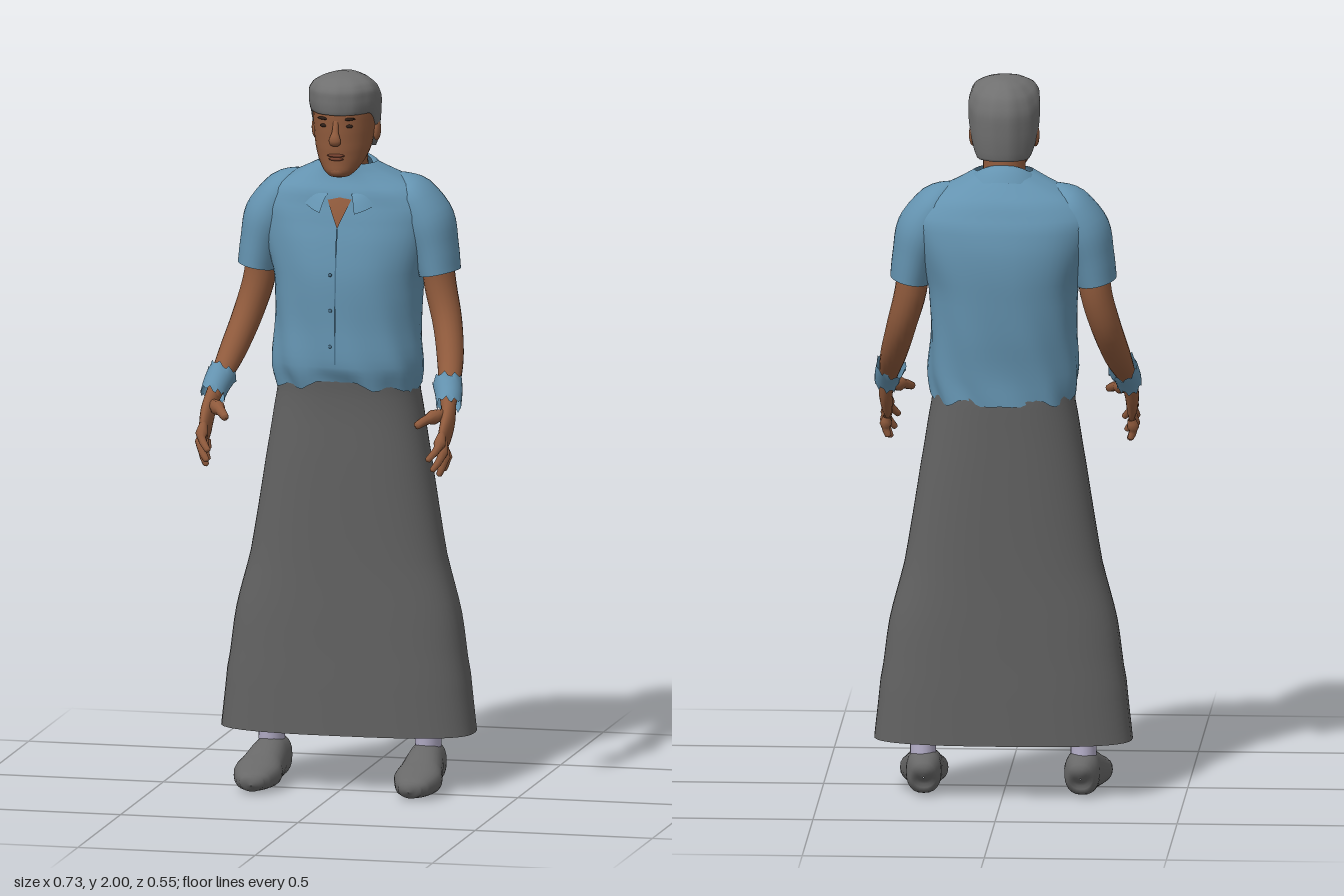
import * as THREE from 'three';

const paint = (name, color, side = THREE.FrontSide) => {
  const m = new THREE.MeshStandardMaterial({ color, side });
  m.name = name;
  return m;
};

// Smooth skin over oval rings. Each key: [x, y, z, half depth, half width, squareness = 2].
// Rings lie across the path, or level when flat is set; bend(v, angle, t) adjusts vertices.
function loft(keys, { seg = 20, sub = 4, flat = false, bend } = {}) {
  const path = new THREE.CatmullRomCurve3(keys.map(k => new THREE.Vector3(k[0], k[1], k[2])));
  const size = new THREE.CatmullRomCurve3(keys.map(k => new THREE.Vector3(k[3], k[4], k[5] ?? 2)));
  const rows = (keys.length - 1) * sub, pos = [], index = [];
  const power = (c, n) => Math.sign(c) * Math.abs(c) ** (2 / n);
  for (let i = 0; i <= rows; i++) {
    const t = i / rows, p = path.getPoint(t), s = size.getPoint(t);
    const dir = flat ? new THREE.Vector3(0, 1, 0) : path.getTangent(t);
    const across = new THREE.Vector3(1, 0, 0).addScaledVector(dir, -dir.x).normalize();
    const deep = dir.clone().cross(across);
    for (let j = 0; j < seg; j++) {
      const a = j / seg * Math.PI * 2;
      const v = p.clone()
        .addScaledVector(across, power(Math.cos(a), s.z) * s.y)
        .addScaledVector(deep, power(Math.sin(a), s.z) * s.x);
      if (bend) bend(v, a, t);
      pos.push(v.x, v.y, v.z);
      if (i < rows) {
        const b = i * seg + (j + 1) % seg, c = i * seg + j;
        index.push(c, b, c + seg, b, b + seg, c + seg);
      }
    }
  }
  const g = new THREE.BufferGeometry();
  g.setAttribute('position', new THREE.Float32BufferAttribute(pos, 3));
  g.setIndex(index);
  g.computeVertexNormals();
  return g;
}

// Open sheet from a rule f(u, v) -> [x, y, z]
function sheet(f, nu, nv) {
  const g = new THREE.PlaneGeometry(1, 1, nu, nv), p = g.attributes.position;
  for (let i = 0; i < p.count; i++) p.setXYZ(i, ...f(p.getX(i) + 0.5, p.getY(i) + 0.5));
  g.computeVertexNormals();
  return g;
}

export function createModel() {
  const model = new THREE.Group();
  const skin = paint('brown skin', 0x8f5a3c, THREE.DoubleSide);
  const shirtBlue = paint('shirt blue', 0x6493b0, THREE.DoubleSide);
  const seamBlue = paint('seam blue', 0x48708a, THREE.DoubleSide);
  const hairGrey = paint('hair grey', 0x707070, THREE.DoubleSide);
  const skirtGrey = paint('skirt grey', 0x626262, THREE.DoubleSide);
  const shoeGrey = paint('shoe grey', 0x686868);
  const sockLilac = paint('sock lilac', 0xb4aec8, THREE.DoubleSide);
  const dark = paint('eye dark', 0x2e2019);
  const lip = paint('lip brown', 0x73402e);

  const add = (name, geometry, material, parent = model) => {
    const m = new THREE.Mesh(geometry, material);
    m.name = name;
    parent.add(m);
    return m;
  };
  const blob = (name, material, [x, y, z], [sx, sy, sz], tilt = 0) => {
    const m = add(name, new THREE.SphereGeometry(1, 14, 10), material);
    m.position.set(x, y, z);
    m.scale.set(sx, sy, sz);
    m.rotation.z = tilt;
    return m;
  };

  // Long skirt, open at the hem
  add('skirt', loft([
    [0, 0.16, -0.1, 0.14, 0.355, 2.8], [0, 0.32, -0.1, 0.138, 0.338, 2.8],
    [0, 0.49, -0.1, 0.136, 0.313, 2.7], [0, 0.65, -0.1, 0.135, 0.272, 2.6],
    [0, 0.92, -0.1, 0.138, 0.228, 2.5], [0, 1.1, -0.1, 0.14, 0.198, 2.4],
    [0, 1.165, -0.095, 0.143, 0.19, 2.4],
  ], { seg: 48, flat: true }), skirtGrey);

  // Shirt body with soft folds and an uneven hem
  add('shirtBody', loft([
    [0, 1.115, -0.097, 0.147, 0.197, 2.4], [0, 1.19, -0.09, 0.155, 0.207, 2.4],
    [0, 1.3, -0.098, 0.16, 0.2, 2.4], [0, 1.42, -0.103, 0.165, 0.205, 2.4],
    [0, 1.53, -0.112, 0.158, 0.235, 2.4], [0, 1.61, -0.115, 0.14, 0.252, 2.4],
    [0, 1.67, -0.108, 0.118, 0.222, 2.3], [0, 1.71, -0.1, 0.09, 0.15, 2.2],
    [0, 1.745, -0.085, 0.07, 0.08],
  ], {
    seg: 56, flat: true, bend: (v, a, t) => {
      const low = Math.max(0, 1 - t * 3), front = Math.max(0, -Math.sin(a));
      const fold = 0.004 * Math.sin(9 * a + 14 * t) * (0.25 + low);
      v.x += Math.cos(a) * fold;
      v.z -= Math.sin(a) * fold;
      if (t < 0.13) v.y += (1 - t / 0.13) * (0.03 * front ** 3 + 0.008 * Math.sin(7 * a) + 0.005 * Math.sin(13 * a));
    },
  }), shirtBlue);

  // Collar folded over around the neck, parted at the front
  add('collar', sheet((u, v) => {
    const a = (u - 0.5) * 5.5, back = (1 + Math.cos(a)) / 2;
    const r = 0.068 + 0.05 * v, crest = 0.012 * Math.sin(Math.PI * v);
    const y = 1.665 + 0.1 * back ** 0.8 - v * (0.055 - 0.015 * back) + crest;
    return [Math.sin(a) * r * 1.08, y, -0.075 - Math.cos(a) * (r - 0.012 * back) + 0.012 * (1 - back)];
  }, 36, 6), shirtBlue);

  // Skin showing in the open neck, then the front seam and buttons
  add('neckOpening', sheet((u, v) => {
    const y = 1.575 + 0.115 * v, x = (u - 0.5) * 0.1 * v;
    return [x, y, 0.042 - 0.045 * v ** 1.4 - Math.abs(x) * 0.08];
  }, 4, 8), skin);
  add('frontSeam', sheet((u, v) => {
    const y = 1.2 + 0.375 * v;
    return [(u - 0.5) * 0.004, y, 0.069 - 0.027 * v ** 3];
  }, 1, 10), seamBlue);
  for (const y of [1.25, 1.35, 1.45]) blob('button', seamBlue, [-0.014, y, 0.065], [0.005, 0.005, 0.003]);

  // Neck and face
  add('neck', loft([
    [0, 1.6, -0.1, 0.06, 0.07], [0, 1.7, -0.08, 0.065, 0.062],
    [0, 1.76, -0.07, 0.065, 0.058], [0, 1.84, -0.065, 0.065, 0.06],
  ]), skin);
  add('face', loft([
    [0, 1.714, 0.015, 0.002, 0.002], [0, 1.72, 0.012, 0.03, 0.028],
    [0, 1.735, 0, 0.053, 0.046], [0, 1.765, -0.022, 0.076, 0.065],
    [0, 1.8, -0.04, 0.097, 0.077], [0, 1.85, -0.05, 0.109, 0.084],
    [0, 1.9, -0.053, 0.112, 0.087], [0, 1.95, -0.058, 0.095, 0.075],
  ], { seg: 32, flat: true }), skin);
  add('nose', loft([
    [0, 1.885, 0.053, 0.004, 0.007], [0, 1.85, 0.063, 0.008, 0.009],
    [0, 1.826, 0.069, 0.012, 0.017], [0, 1.815, 0.064, 0.008, 0.014], [0, 1.812, 0.06, 0.001, 0.001],
  ], { seg: 14 }), skin);
  blob('upperLip', lip, [0, 1.782, 0.054], [0.025, 0.005, 0.008]);
  blob('lowerLip', lip, [0, 1.772, 0.053], [0.021, 0.005, 0.008]);
  blob('chin', skin, [0, 1.737, 0.037], [0.024, 0.017, 0.017]);

  // Hair with a raised front and a low nape
  add('hair', loft([
    [0, 1.79, -0.05, 0.095, 0.07], [0, 1.78, -0.05, 0.114, 0.088],
    [0, 1.84, -0.053, 0.122, 0.097], [0, 1.9, -0.055, 0.123, 0.098],
    [0, 1.95, -0.055, 0.108, 0.086], [0, 1.98, -0.055, 0.078, 0.06],
    [0, 1.995, -0.055, 0.04, 0.03], [0, 1.999, -0.055, 0.001, 0.001],
  ], {
    seg: 40, flat: true, bend: (v, a, t) => {
      const edge = 1.78 + 0.115 * THREE.MathUtils.smoothstep(-Math.sin(a), -0.7, 0.45);
      v.y = 2 - (2 - v.y) * (2 - edge) / 0.22;
      const wave = 1 + 0.018 * Math.sin(11 * a) * Math.sin(Math.PI * t);
      v.x *= wave;
      v.z = -0.055 + (v.z + 0.055) * wave;
    },
  }), hairGrey);

  for (const s of [1, -1]) {
    const side = s > 0 ? 'left' : 'right';
    const flip = keys => keys.map(([x, ...rest]) => [x * s, ...rest]);
    const limb = (name, keys, material, options) => add(side + name, loft(flip(keys), options), material);

    // Eye, brow and ear
    blob(side + 'Eye', dark, [s * 0.034, 1.864, 0.048], [0.013, 0.005, 0.005]);
    blob(side + 'Brow', dark, [s * 0.035, 1.884, 0.05], [0.019, 0.004, 0.005], s * 0.08);
    blob(side + 'Ear', skin, [s * 0.086, 1.838, -0.068], [0.011, 0.032, 0.019]);

    // Short sleeve
    limb('Sleeve', [
      [0.13, 1.69, -0.108, 0.03, 0.03], [0.18, 1.655, -0.108, 0.085, 0.055],
      [0.22, 1.58, -0.108, 0.098, 0.074], [0.242, 1.51, -0.106, 0.092, 0.063],
      [0.256, 1.44, -0.103, 0.086, 0.056],
    ], shirtBlue, { seg: 28 });

    // Bare arm, bent forward
    limb('Arm', [
      [0.24, 1.54, -0.105, 0.052, 0.045], [0.254, 1.41, -0.11, 0.051, 0.044],
      [0.28, 1.31, -0.085, 0.049, 0.041], [0.305, 1.22, -0.018, 0.043, 0.037],
      [0.323, 1.15, 0.07, 0.028, 0.028], [0.332, 1.105, 0.118, 0.024, 0.02],
    ], skin);

    // Wristband with ragged edges
    limb('Wristband', [
      [0.317, 1.165, 0.065, 0.045, 0.041], [0.328, 1.135, 0.095, 0.04, 0.037], [0.333, 1.11, 0.118, 0.038, 0.034],
    ], shirtBlue, {
      seg: 28, bend: (v, a, t) => {
        if (t < 0.01 || t > 0.99) v.y += 0.007 * Math.sin(9 * a) + 0.004 * Math.sin(4 * a);
      },
    });

    // Palm, four spread fingers and thumb
    limb('Palm', [
      [0.332, 1.115, 0.11, 0.024, 0.02], [0.338, 1.07, 0.15, 0.037, 0.019],
      [0.337, 1.035, 0.183, 0.041, 0.016], [0.335, 1.012, 0.2, 0.034, 0.011], [0.335, 1.005, 0.206, 0.001, 0.001],
    ], skin);
    const fingers = {
      IndexFinger: [[0.336, 1.047, 0.212], [0.333, 1.015, 0.245], [0.31, 0.985, 0.268]],
      MiddleFinger: [[0.338, 1.03, 0.2], [0.338, 0.985, 0.232], [0.318, 0.953, 0.247]],
      RingFinger: [[0.338, 1.012, 0.185], [0.34, 0.967, 0.205], [0.328, 0.934, 0.211]],
      LittleFinger: [[0.336, 0.998, 0.166], [0.34, 0.966, 0.173], [0.332, 0.942, 0.172]],
      Thumb: [[0.325, 1.092, 0.145], [0.293, 1.085, 0.195], [0.27, 1.072, 0.23]],
    };
    for (const [name, [base, mid, tip]] of Object.entries(fingers)) {
      const r = name === 'Thumb' ? 0.014 : 0.011;
      const end = tip.map((c, i) => c + (c - mid[i]) * 0.12);
      limb(name, [[...base, r, r], [...mid, r, r], [...tip, r * 0.75, r * 0.75], [...end, 0.001, 0.001]],
        skin, { seg: 10, sub: 3 });
    }

    // Sock and shoe
    limb('Sock', [
      [0.22, 0.07, -0.115, 0.047, 0.035], [0.22, 0.16, -0.108, 0.048, 0.036],
      [0.215, 0.3, -0.105, 0.055, 0.045], [0.2, 0.5, -0.1, 0.06, 0.052],
    ], sockLilac);
    limb('Shoe', [
      [0.215, 0.06, -0.182, 0.002, 0.002], [0.215, 0.065, -0.175, 0.04, 0.033, 2.3],
      [0.217, 0.068, -0.14, 0.06, 0.048, 2.4], [0.22, 0.066, -0.075, 0.06, 0.052, 2.3],
      [0.224, 0.053, -0.01, 0.051, 0.06, 2.3], [0.226, 0.042, 0.055, 0.038, 0.062, 2.4],
      [0.224, 0.035, 0.1, 0.028, 0.046, 2.4], [0.222, 0.03, 0.122, 0.016, 0.022], [0.222, 0.028, 0.128, 0.001, 0.001],
    ], shoeGrey, { seg: 24, bend: v => { v.y = Math.max(v.y, 0.003); } });
  }
  return model;
}
